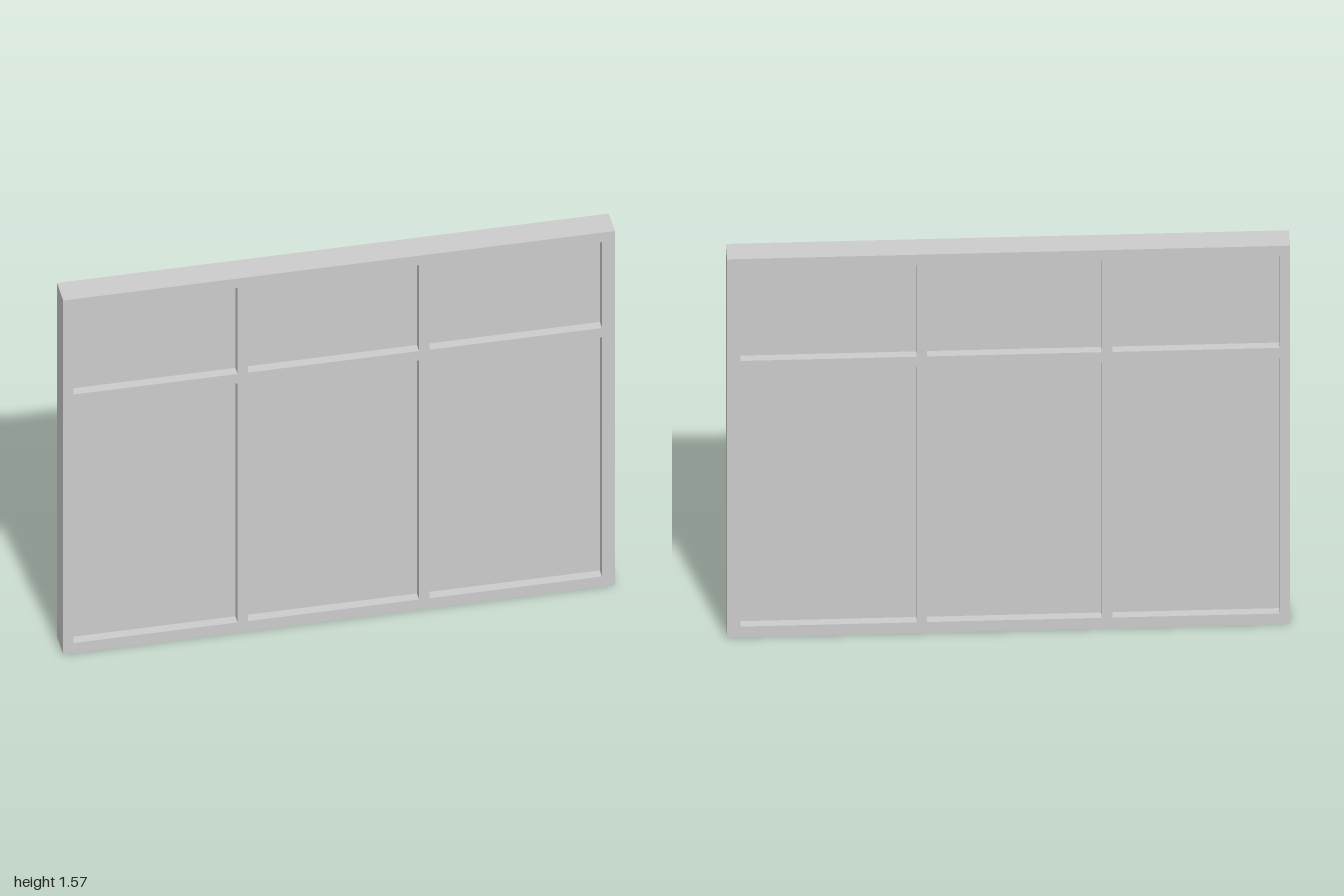
import * as THREE from 'three';

const HEIGHT = 1.57, DEPTH = 0.106, GLASS = 0.032;
// Clear openings between the bars, as [start, end]
const COLUMNS = [[-0.963, -0.368], [-0.33, 0.29], [0.327, 0.953]];
const ROWS = [[0.045, 1.105], [1.147, 1.528]];

function rectangle(path, x0, y0, x1, y1) {
  path.moveTo(x0, y0);
  path.lineTo(x1, y0);
  path.lineTo(x1, y1);
  path.lineTo(x0, y1);
  path.closePath();
  return path;
}

export function createModel() {
  const group = new THREE.Group();
  group.name = 'window';
  const material = new THREE.MeshStandardMaterial({ color: 0xcccccc, flatShading: true });

  const outline = rectangle(new THREE.Shape(), -1, 0, 1, HEIGHT);
  const panes = new THREE.Group();
  panes.name = 'panes';

  // Each opening is cut through the frame and filled with a recessed pane
  for (const [x0, x1] of COLUMNS) {
    for (const [y0, y1] of ROWS) {
      outline.holes.push(rectangle(new THREE.Path(), x0, y0, x1, y1));
      const pane = new THREE.Mesh(new THREE.BoxGeometry(x1 - x0, y1 - y0, GLASS), material);
      pane.position.set((x0 + x1) / 2, (y0 + y1) / 2, 0);
      pane.name = 'pane';
      panes.add(pane);
    }
  }

  // Outer frame with mullions and transom in one piece
  const geometry = new THREE.ExtrudeGeometry(outline, { depth: DEPTH, bevelEnabled: false });
  geometry.translate(0, 0, -DEPTH / 2);
  const frame = new THREE.Mesh(geometry, material);
  frame.name = 'frame';

  group.add(frame, panes);
  return group;
}
